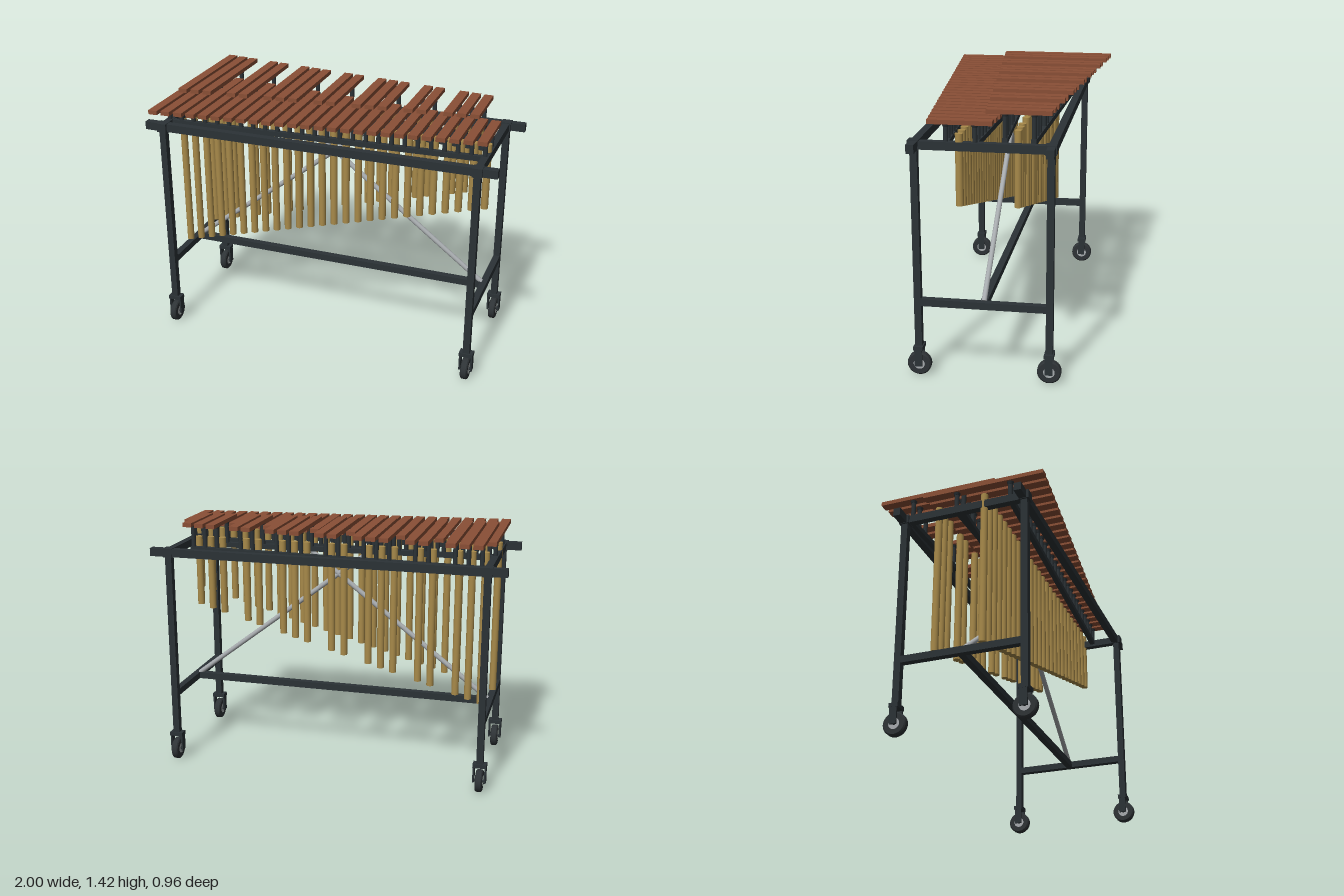
import * as THREE from 'three';

const mat = (color) => new THREE.MeshStandardMaterial({ color });

export function createModel() {
  const model = new THREE.Group();
  const frameMat = mat(0x2b3236), barMat = mat(0x8a4f36), brassMat = mat(0xa88a4a);
  const steelMat = mat(0xa6aaad), tyreMat = mat(0x2e3336);

  const add = (parent, name, geometry, material, x, y, z) => {
    const mesh = new THREE.Mesh(geometry, material);
    mesh.name = name;
    mesh.position.set(x, y, z);
    parent.add(mesh);
    return mesh;
  };
  const box = (parent, name, w, h, d, x, y, z, m = frameMat) =>
    add(parent, name, new THREE.BoxGeometry(w, h, d), m, x, y, z);
  // Straight piece between two points, laid along its local z
  const beam = (name, geometry, material, a, b) => {
    const mid = a.clone().add(b).multiplyScalar(0.5);
    const mesh = add(model, name, geometry, material, mid.x, mid.y, mid.z);
    mesh.lookAt(b);
    return mesh;
  };
  const V = (x, y, z) => new THREE.Vector3(x, y, z);
  const lerp = THREE.MathUtils.lerp;

  const legX = 0.895, frontZ = 0.367, backZ = -0.318, midZ = 0.024;

  // Frame: long rails, legs, cross rails and the low stretchers
  for (const z of [frontZ - 0.005, backZ - 0.005]) {
    box(model, 'longRail', 2, 0.045, 0.04, 0, 1.247, z);
  }
  for (const x of [-legX, legX]) {
    box(model, 'topCrossRail', 0.038, 0.043, 0.685, x, 1.246, midZ);
    box(model, 'lowCrossRail', 0.037, 0.038, 0.66, x, 0.41, midZ);
    for (const z of [frontZ, backZ]) {
      box(model, 'leg', 0.037, 1.09, 0.037, x, 0.695, z);
      box(model, 'cornerSleeve', 0.054, 0.05, 0.056, x, 1.247, z);
      addCaster(x, z);
    }
  }
  box(model, 'lowStretcher', 1.77, 0.038, 0.037, 0, 0.41, midZ);

  // Crossed steel braces
  for (const s of [-1, 1]) {
    const a = V(s * 0.88, 0.425, midZ), b = V(-s * 0.175, 1.235, midZ);
    const g = new THREE.CylinderGeometry(0.014, 0.014, a.distanceTo(b), 16).rotateX(Math.PI / 2);
    beam('brace', g, steelMat, a, b);
  }

  // Caster: collar, fork and wheel
  function addCaster(x, z) {
    const caster = new THREE.Group();
    caster.name = 'caster';
    caster.position.set(x, 0, z);
    model.add(caster);
    box(caster, 'forkCrown', 0.076, 0.022, 0.05, 0, 0.156, 0);
    for (const s of [-1, 1]) {
      box(caster, 'forkArm', 0.009, 0.1, 0.04, s * 0.0325, 0.105, 0);
    }
    const r = 0.063, w = 0.019;
    const tyre = new THREE.LatheGeometry([
      [0.03, -w], [r - 0.007, -w], [r - 0.007, -w], [r, -w + 0.006], [r, -w + 0.006],
      [r, w - 0.006], [r, w - 0.006], [r - 0.007, w], [r - 0.007, w], [0.03, w],
    ].map(p => new THREE.Vector2(...p)), 32).rotateZ(Math.PI / 2);
    add(caster, 'tyre', tyre, tyreMat, 0, r, 0);
    add(caster, 'hub', new THREE.CylinderGeometry(0.031, 0.031, 0.034, 24).rotateZ(Math.PI / 2), steelMat, 0, r, 0);
    add(caster, 'axle', new THREE.CylinderGeometry(0.008, 0.008, 0.07, 12).rotateZ(Math.PI / 2), frameMat, 0, r, 0);
  }

  // Sounding bars, each with two posts and one resonator tube.
  // Bar ends taper linearly from the low end (left) to the high end.
  const firstX = -0.895, step = 0.0715, node = 0.277;
  const rows = [
    { name: 'front', slots: [], x: [-0.895, 0.8925], back: [-0.21, -0.03], front: [0.475, 0.295], y: 1.368, tubeZ: 0.139 },
    { name: 'rear', slots: [], x: [-0.859, 0.785], back: [-0.48, -0.31], front: [0.19, 0.02], y: 1.404, tubeZ: -0.138 },
  ];
  for (let i = 0; i < 26; i++) {
    rows[0].slots.push(i);
    const k = i % 7; // raised bars in alternating groups of three and two
    if (i < 25 && k !== 3 && k !== 6) rows[1].slots.push(i + 0.5);
  }

  const postGeo = (h) => new THREE.CylinderGeometry(0.0125, 0.0125, h, 12);
  const headGeo = new THREE.CylinderGeometry(0.019, 0.014, 0.014, 12);
  const railY = 1.253;

  for (const row of rows) {
    const ends = (x) => {
      const t = (x - row.x[0]) / (row.x[1] - row.x[0]);
      const b = lerp(...row.back, t), f = lerp(...row.front, t);
      return { b, f, nodes: [lerp(b, f, node), lerp(f, b, node)] };
    };
    const under = row.y - 0.0115;
    for (const slot of row.slots) {
      const x = firstX + slot * step;
      const { b, f, nodes } = ends(x);
      box(model, row.name + 'Bar', 0.051, 0.023, f - b, x, row.y, (b + f) / 2, barMat);
      for (const z of nodes) {
        add(model, 'barPost', postGeo(under - railY), frameMat, x, (under + railY) / 2, z);
        add(model, 'postHead', headGeo, frameMat, x, under - 0.007, z);
      }
      const bottom = 0.44 + 0.02 * slot, top = 1.31;
      add(model, 'resonatorTube', new THREE.CylinderGeometry(0.02, 0.02, top - bottom, 20),
        brassMat, x, (top + bottom) / 2, row.tubeZ);
    }
    // Slanted rails carrying the posts
    const x0 = row.x[0] - 0.015, x1 = row.x[1] + 0.015;
    for (const k of [0, 1]) {
      const a = V(x0, railY, ends(x0).nodes[k]), c = V(x1, railY, ends(x1).nodes[k]);
      beam(row.name + 'PostRail', new THREE.BoxGeometry(0.028, 0.028, a.distanceTo(c)), frameMat, a, c);
    }
  }

  return model;
}
